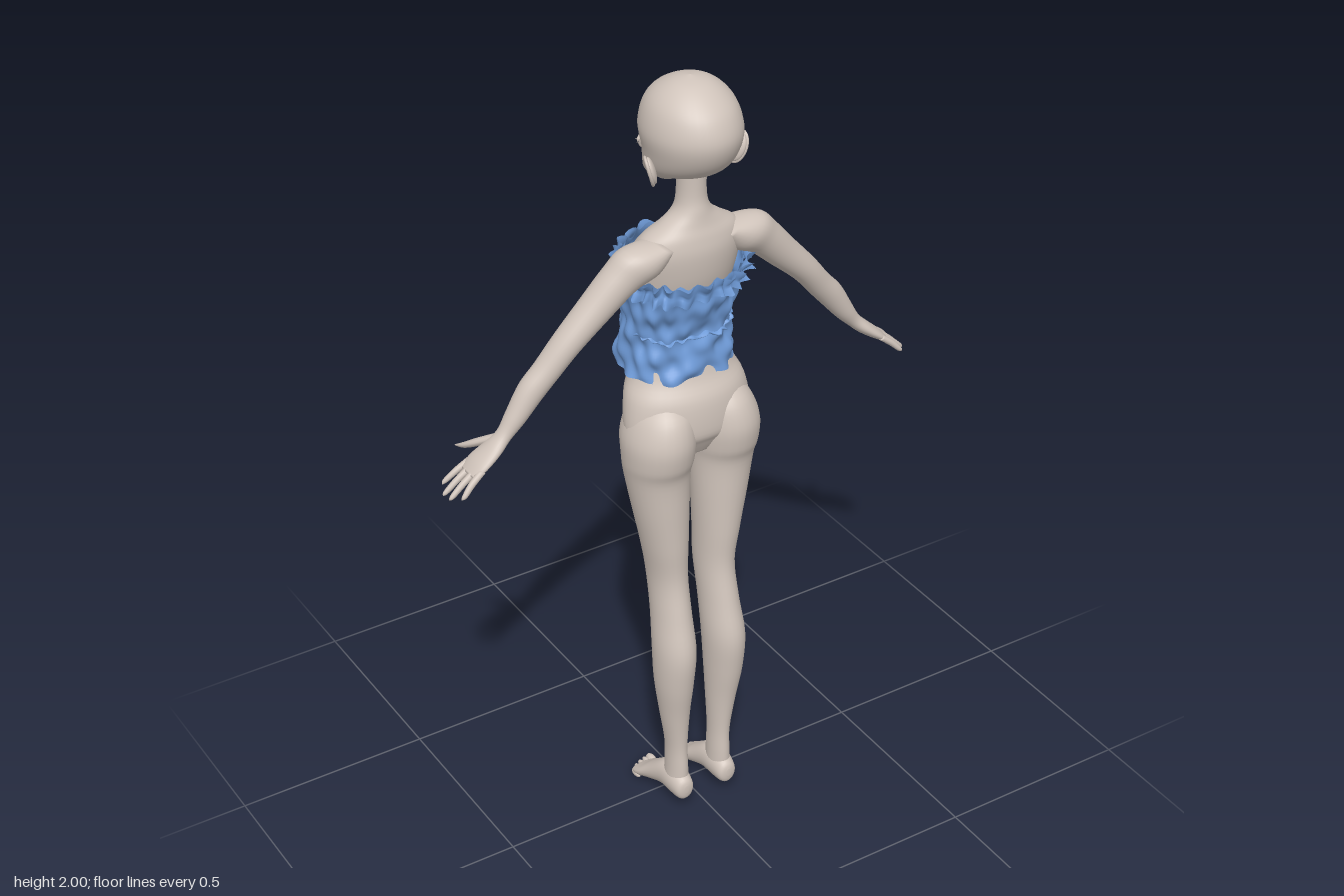
import * as THREE from 'three';

const skin = new THREE.MeshStandardMaterial({ color: 0xd0c4bb });
skin.name = 'skin';
const cloth = new THREE.MeshStandardMaterial({ color: 0x6f9bd8, side: THREE.DoubleSide });
cloth.name = 'blue cloth';

const X = [1, 0, 0], Y = [0, 1, 0], Z = [0, 0, 1];

// Smooth grid geometry wrapped around in one direction; point(t, angle) returns [x, y, z]
function wrapped(rows, cols, point, caps) {
  const pos = [], idx = [];
  for (let i = 0; i <= rows; i++)
    for (let j = 0; j < cols; j++) pos.push(...point(i / rows, (j / cols) * Math.PI * 2));
  for (let i = 0; i < rows; i++)
    for (let j = 0; j < cols; j++) {
      const k = (j + 1) % cols, a = i * cols + j, b = i * cols + k;
      idx.push(a, b, a + cols, b, b + cols, a + cols);
    }
  if (caps) for (const r of [0, rows]) {
    const c = pos.length / 3, mid = [0, 0, 0];
    for (let j = 0; j < cols; j++) for (let n = 0; n < 3; n++) mid[n] += pos[(r * cols + j) * 3 + n] / cols;
    pos.push(...mid);
    for (let j = 0; j < cols; j++) {
      const a = r * cols + j, b = r * cols + (j + 1) % cols;
      idx.push(...(r ? [c, a, b] : [c, b, a]));
    }
  }
  // Turn the faces outward if the enclosed volume is negative
  let vol = 0;
  const v = i => new THREE.Vector3().fromArray(pos, i * 3);
  for (let i = 0; i < idx.length; i += 3) vol += v(idx[i]).dot(v(idx[i + 1]).cross(v(idx[i + 2])));
  if (vol < 0) idx.reverse();
  const g = new THREE.BufferGeometry();
  g.setAttribute('position', new THREE.Float32BufferAttribute(pos, 3));
  g.setIndex(idx);
  g.computeVertexNormals();
  return g;
}

// Smooth interpolation through rows of numbers
function sampler(rows) {
  return t => {
    const f = t * (rows.length - 1), i = Math.min(Math.floor(f), rows.length - 2), w = f - i;
    const p = rows[Math.max(i - 1, 0)], a = rows[i], b = rows[i + 1], q = rows[Math.min(i + 2, rows.length - 1)];
    return a.map((_, n) => {
      const m0 = (b[n] - p[n]) / 2, m1 = (q[n] - a[n]) / 2, d = b[n] - a[n];
      return a[n] + m0 * w + (3 * d - 2 * m0 - m1) * w * w + (m0 + m1 - 2 * d) * w * w * w;
    });
  };
}

// Elliptical sections [x, y, z, radiusU, radiusV] along a path
function loft(sections, u, v, side = 1, cols = 28, steps = 5) {
  const at = sampler(sections);
  return wrapped((sections.length - 1) * steps, cols, (t, ang) => {
    const s = at(t), c = Math.max(s[3], 0.0005) * Math.cos(ang), d = Math.max(s[4], 0.0005) * Math.sin(ang);
    const p = [0, 1, 2].map(n => s[n] + u[n] * c + v[n] * d);
    return [p[0] * side, p[1], p[2]];
  }, true);
}

// Upright sections [y, halfWidth, zFront, zBack], centred on x or offset by cx
const upright = (rows, cx) => rows.map(([y, a, f, b, x]) => [x ?? cx ?? 0, y, (f + b) / 2, a, (b - f) / 2]);

export function createModel() {
  const model = new THREE.Group();
  const add = (name, geo, mat = skin, parent = model) => {
    const m = new THREE.Mesh(geo, mat);
    m.name = name;
    parent.add(m);
    return m;
  };
  const ball = (name, p, s) => {
    const m = add(name, new THREE.SphereGeometry(1, 24, 16));
    m.position.set(...p);
    m.scale.set(...s);
    return m;
  };

  // Head, pointed at the chin and round at the back
  add('head', loft(upright([
    [1.708, 0.012, -0.078, -0.055], [1.72, 0.03, -0.089, -0.03], [1.74, 0.055, -0.093, 0.0],
    [1.765, 0.08, -0.094, 0.06], [1.79, 0.094, -0.09, 0.115], [1.83, 0.104, -0.087, 0.15],
    [1.88, 0.112, -0.097, 0.165], [1.93, 0.102, -0.085, 0.15], [1.965, 0.08, -0.057, 0.118],
    [1.99, 0.044, -0.012, 0.077], [2.0, 0, 0.03, 0.032]]), X, Z, 1, 40, 6));
  ball('nose', [0, 1.776, -0.092], [0.009, 0.014, 0.014]).rotation.x = 0.4;
  ball('upperLip', [0, 1.75, -0.092], [0.016, 0.004, 0.005]);
  ball('lowerLip', [0, 1.741, -0.091], [0.012, 0.004, 0.005]);

  // Neck and trunk
  add('trunk', loft(upright([
    [1.05, 0.08, -0.035, 0.08], [1.085, 0.145, -0.06, 0.1], [1.12, 0.165, -0.073, 0.115], [1.2, 0.155, -0.095, 0.108],
    [1.26, 0.13, -0.1, 0.078], [1.36, 0.11, -0.085, 0.06], [1.45, 0.12, -0.085, 0.075],
    [1.52, 0.132, -0.085, 0.093], [1.58, 0.138, -0.068, 0.1], [1.62, 0.122, -0.038, 0.095],
    [1.65, 0.08, -0.015, 0.086], [1.68, 0.045, -0.004, 0.08], [1.72, 0.034, 0, 0.073],
    [1.8, 0.034, 0, 0.075]]), X, Z, 1, 40));

  for (const side of [1, -1]) {
    const word = side > 0 ? 'left' : 'right';

    // Eyes, lids and brows
    ball(word + 'Eye', [0.043 * side, 1.812, -0.074], [0.023, 0.018, 0.009]).rotation.y = 0.35 * side;
    const stroke = (name, pts, r) => add(word + name, new THREE.TubeGeometry(
      new THREE.CatmullRomCurve3(pts.map(p => new THREE.Vector3(p[0] * side, p[1], p[2]))), 16, r, 6));
    stroke('UpperLid', [[0.018, 1.813, -0.084], [0.032, 1.831, -0.084], [0.055, 1.833, -0.076], [0.078, 1.822, -0.062], [0.088, 1.826, -0.055]], 0.0045);
    stroke('LowerLid', [[0.022, 1.803, -0.084], [0.042, 1.794, -0.08], [0.066, 1.802, -0.066], [0.078, 1.82, -0.06]], 0.0025);
    stroke('Brow', [[0.018, 1.85, -0.09], [0.045, 1.859, -0.083], [0.075, 1.853, -0.063]], 0.003);

    // Ears with a raised rim
    const ear = new THREE.Group();
    ear.name = word + 'Ear';
    ear.position.set(0.111 * side, 1.803, 0.048);
    ear.rotation.set(0.25, 0.35 * side, -0.35 * side);
    model.add(ear);
    add('earBowl', new THREE.SphereGeometry(1, 20, 14), skin, ear).scale.set(0.01, 0.036, 0.024);
    const rim = add('earRim', new THREE.TorusGeometry(0.024, 0.004, 8, 28), skin, ear);
    rim.rotation.y = Math.PI / 2;
    rim.scale.set(0.95, 1.5, 1);
    rim.position.x = 0.005 * side;

    // Legs, from the seat to the ankle
    add(word + 'Leg', loft(upright([
      [1.21, 0.03, -0.02, 0.07, 0.08], [1.17, 0.068, -0.06, 0.115, 0.082], [1.11, 0.085, -0.07, 0.134, 0.088],
      [1.05, 0.084, -0.062, 0.128, 0.09], [1.0, 0.078, -0.057, 0.112, 0.089], [0.9, 0.067, -0.045, 0.107, 0.082],
      [0.8, 0.055, -0.036, 0.103, 0.074], [0.7, 0.046, -0.03, 0.099, 0.067], [0.6, 0.046, -0.01, 0.118, 0.068],
      [0.5, 0.05, 0.007, 0.14, 0.071], [0.4, 0.046, 0.015, 0.132, 0.072], [0.3, 0.036, 0.024, 0.115, 0.068],
      [0.2, 0.026, 0.032, 0.105, 0.063], [0.13, 0.026, 0.03, 0.107, 0.062], [0.07, 0.028, 0.03, 0.108, 0.063]]), X, Z, side));

    // Feet, sloping down from heel to toes
    add(word + 'Foot', loft([
      [0.063, 0.075, 0.121, 0.006, 0.01], [0.063, 0.072, 0.112, 0.024, 0.031], [0.063, 0.078, 0.075, 0.031, 0.042],
      [0.063, 0.074, 0.03, 0.032, 0.04], [0.064, 0.048, -0.02, 0.037, 0.03], [0.065, 0.028, -0.055, 0.042, 0.02],
      [0.065, 0.017, -0.082, 0.036, 0.011], [0.065, 0.014, -0.09, 0.015, 0.006]], X, Y, side, 24));
    for (let i = 0; i < 5; i++)
      ball(word + 'Toe', [(0.036 + i * 0.0155) * side, 0.013, -0.094 + i * i * 0.0016],
        i ? [0.0075, 0.009, 0.018] : [0.011, 0.012, 0.02]);

    // Arms and palms
    const across = [0.75, 0.66, 0];
    add(word + 'Arm', loft([
      [0.08, 1.61, 0.045, 0.025, 0.04], [0.14, 1.585, 0.045, 0.054, 0.05], [0.19, 1.55, 0.038, 0.046, 0.045],
      [0.25, 1.49, 0.03, 0.04, 0.041], [0.32, 1.42, 0.023, 0.034, 0.037], [0.37, 1.36, 0.015, 0.032, 0.033],
      [0.41, 1.315, 0.01, 0.032, 0.031], [0.45, 1.26, 0.008, 0.025, 0.026], [0.48, 1.222, 0.007, 0.018, 0.021],
      [0.51, 1.193, 0.004, 0.017, 0.031], [0.545, 1.165, 0, 0.014, 0.038], [0.57, 1.145, 0, 0.008, 0.033]],
      across, Z, side));

    // Fingers as [base z, tip x, tip y, tip z]
    for (const [z, tx, ty, tz] of [[-0.03, 0.618, 1.11, -0.04], [-0.01, 0.63, 1.098, -0.014], [0.011, 0.628, 1.1, 0.013], [0.029, 0.61, 1.108, 0.038]])
      add(word + 'Finger', loft([[0.55, 1.16, z, 0.008, 0.009],
        [(0.55 + tx) / 2, (1.166 + ty) / 2, (z + tz) / 2, 0.008, 0.008],
        [tx - 0.008, ty + 0.007, tz, 0.006, 0.006], [tx, ty, tz, 0.001, 0.001]], across, Z, side, 10));
    add(word + 'Thumb', loft([[0.49, 1.21, -0.01, 0.012, 0.014], [0.52, 1.188, -0.045, 0.012, 0.014],
      [0.54, 1.17, -0.075, 0.009, 0.009], [0.55, 1.16, -0.1, 0.002, 0.002]], [0.55, 0.83, 0], [0.76, 0, 0.65], side, 12));
  }

  // Strapless top: rows of [halfWidth, zFront, zBack] from hem to upper edge
  const fit = sampler([[0.137, -0.15, 0.082], [0.133, -0.152, 0.078], [0.13, -0.135, 0.072], [0.131, -0.122, 0.075],
    [0.139, -0.12, 0.088], [0.143, -0.118, 0.1], [0.145, -0.1, 0.106]]);
  const surface = (t, ang, out = 0) => {
    const [a, f, b] = fit(t), s = Math.sin(ang), c = Math.cos(ang);
    const top = 1.545 - 0.032 * s + 0.006 * Math.cos(22 * ang);
    const hem = 1.252 + 0.004 * Math.sin(5 * ang);
    const y = hem + (top - hem) * t;
    // Folds fade toward the upper edge
    const fold = 0.004 * Math.sin(7 * ang + 14 * t) + 0.003 * Math.sin(13 * ang - 19 * t) + 0.002 * Math.sin(30 * t + 3 * ang);
    const r = out + fold * (1.2 - 0.5 * t);
    const x = (a + r) * Math.sign(c) * Math.abs(c) ** 0.88;
    let z = (f + b) / 2 + ((b - f) / 2 + r) * Math.sign(s) * Math.abs(s) ** 0.88;
    if (s < 0) z -= 0.034 * Math.exp(-(((Math.abs(x) - 0.062) / 0.045) ** 2) - ((y - 1.49) / 0.055) ** 2);
    return [x, y, z];
  };
  add('top', wrapped(44, 132, (t, ang) => surface(t, ang)), cloth);

  // Gathered frill around the upper edge, fuller at the sides and back
  add('upperFrill', wrapped(8, 220, (t, ang) => {
    const full = 0.006 + 0.012 * Math.abs(Math.cos(ang)) + 0.006 * Math.max(0, Math.sin(ang));
    const wave = 0.55 + 0.45 * Math.sin(27 * ang + 2 * Math.sin(5 * ang));
    return surface(0.84 + 0.17 * t, ang, 0.003 + full * wave * (0.4 + Math.abs(1 - 2 * t)));
  }), cloth);

  // Narrow gathered seam across the back at the waist
  add('waistFrill', wrapped(6, 160, (t, ang) => {
    const back = Math.max(0, Math.sin(ang) + 0.25);
    return surface(0.38 + 0.04 * t + 0.006 * Math.sin(23 * ang), ang,
      -0.004 + back * 0.01 * Math.sin(Math.PI * t) * (1 + 0.4 * Math.sin(31 * ang)));
  }), cloth);

  return model;
}
